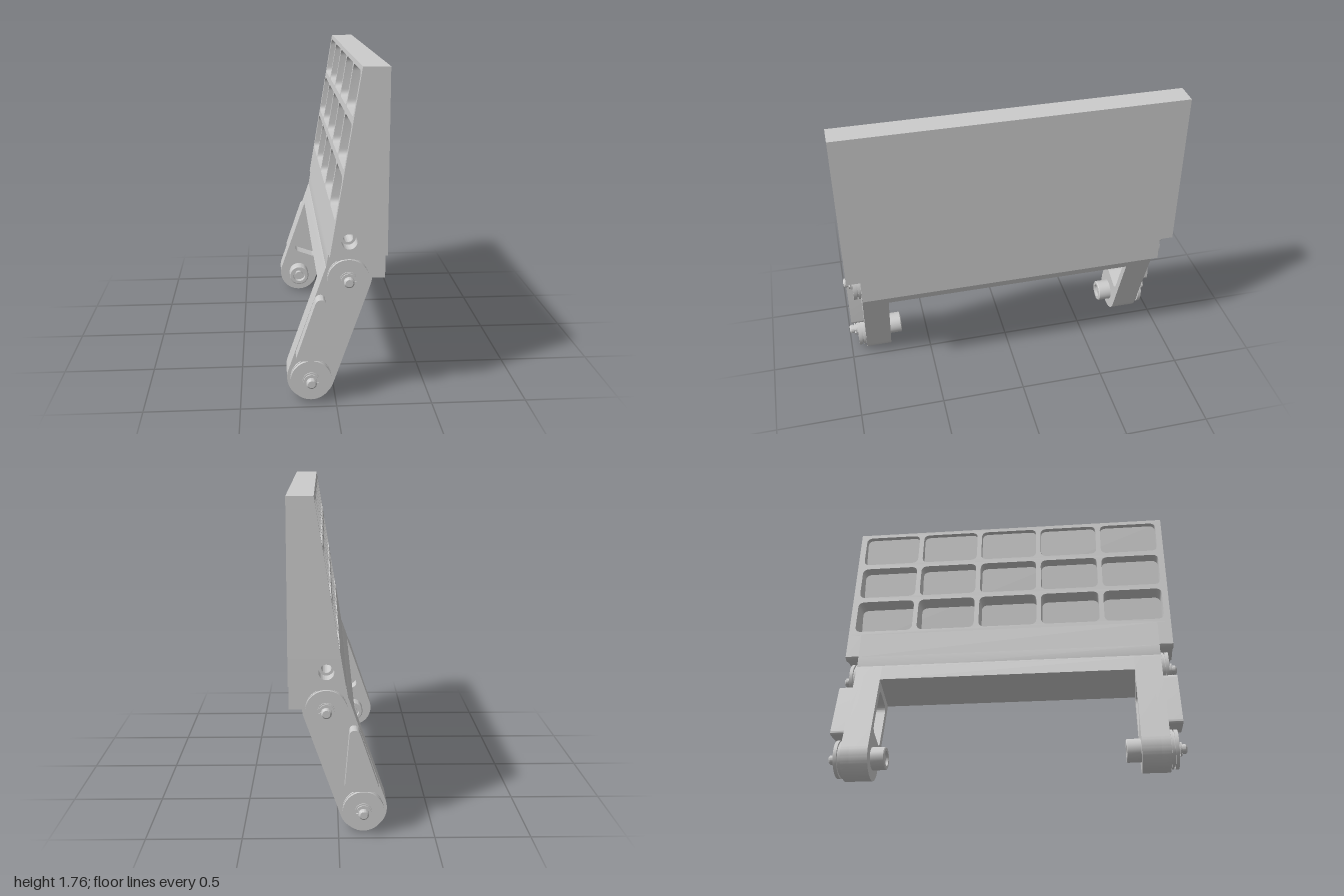
import * as THREE from 'three';
import { toCreasedNormals } from 'three/addons/utils/BufferGeometryUtils.js';

const material = new THREE.MeshStandardMaterial({ color: 0xcccccc });
const HINGE = new THREE.Vector2(0.062, 0.675);
const FOOT = new THREE.Vector2(-0.13, 0.125);
const ARM_R = 0.125;
const FLOOR_X = 0.15; // depth plane of the panel pockets
const SPLIT_Y = 0.96; // pocketed part above, pivot part below
const slantX = (y) => 0.12 - 0.165 * (1.76 - y);

function add(group, name, geometry) {
  const mesh = new THREE.Mesh(toCreasedNormals(geometry, 0.6), material);
  mesh.name = name;
  group.add(mesh);
  return mesh;
}

// Extrude an xy outline between two z positions
function slab(shape, za, zb) {
  const geo = new THREE.ExtrudeGeometry(shape, {
    depth: Math.abs(zb - za), bevelEnabled: false, curveSegments: 24,
  });
  return geo.translate(0, 0, Math.min(za, zb));
}

const polygon = (pts) => new THREE.Shape(pts.map(([x, y]) => new THREE.Vector2(x, y)));

function roundedPolygon(pts, r) {
  const v = pts.map(([x, y]) => new THREE.Vector2(x, y));
  const shape = new THREE.Shape();
  v.forEach((p, i) => {
    const toward = (q) => p.clone().add(q.clone().sub(p).setLength(r));
    const a = toward(v[(i + v.length - 1) % v.length]);
    const b = toward(v[(i + 1) % v.length]);
    if (i === 0) shape.moveTo(a.x, a.y);
    else shape.lineTo(a.x, a.y);
    shape.quadraticCurveTo(p.x, p.y, b.x, b.y);
  });
  shape.closePath();
  return shape;
}

function circle(x, y, r) {
  return new THREE.Path().absarc(x, y, r, 0, Math.PI * 2, true);
}

// Turned part on a z axis; profile is [radius, distance from the middle]
function turned(profile, centre, side) {
  const geo = new THREE.LatheGeometry(profile.map(([r, h]) => new THREE.Vector2(r, h)), 40);
  return geo.rotateX(side * Math.PI / 2).translate(centre.x, centre.y, 0);
}

// Point on the arm: t along it from the hinge, w across it
const dir = FOOT.clone().sub(HINGE).normalize();
const across = new THREE.Vector2(-dir.y, dir.x);
const armPoint = (t, w) => [
  HINGE.x + dir.x * t + across.x * w,
  HINGE.y + dir.y * t + across.y * w,
];

function buildPanel() {
  const panel = new THREE.Group();
  panel.name = 'panel';

  // Solid front sheet
  add(panel, 'frontSheet', new THREE.BoxGeometry(0.255 - FLOOR_X, 1.76 - SPLIT_Y, 1.97)
    .translate((0.255 + FLOOR_X) / 2, (1.76 + SPLIT_Y) / 2, 0));

  // Sloped rib grid with five by three pockets
  const grid = polygon([[-0.985, SPLIT_Y], [0.985, SPLIT_Y], [0.985, 1.76], [-0.985, 1.76]]);
  for (let col = -2; col <= 2; col++) {
    for (const [y0, y1] of [[0.985, 1.21], [1.245, 1.475], [1.51, 1.735]]) {
      const z0 = col * 0.385 - 0.178;
      const z1 = col * 0.385 + 0.178;
      grid.holes.push(roundedPolygon([[z0, y0], [z0, y1], [z1, y1], [z1, y0]], 0.04));
    }
  }
  const ribs = new THREE.ExtrudeGeometry(grid, { depth: 1, bevelEnabled: false, curveSegments: 6 });
  ribs.rotateY(Math.PI / 2);
  const pos = ribs.attributes.position;
  for (let i = 0; i < pos.count; i++) {
    pos.setX(i, THREE.MathUtils.lerp(slantX(pos.getY(i)), FLOOR_X, pos.getX(i)));
  }
  add(panel, 'ribGrid', ribs);

  // Lower body with the through bore
  const body = polygon([
    [slantX(SPLIT_Y), SPLIT_Y], [slantX(0.8), 0.8], [-0.055, 0.7], [-0.05, 0.675],
    [0.255, 0.67], [0.255, SPLIT_Y],
  ]);
  body.holes.push(circle(0.062, 0.89, 0.026));
  add(panel, 'lowerBody', slab(body, -0.905, 0.905));

  // End cheeks, cut away above the hinge discs
  const cheek = polygon([
    [slantX(SPLIT_Y), SPLIT_Y], [slantX(0.805), 0.805], [-0.03, 0.795], [-0.01, 0.788],
    [0.02, 0.795], [0.062, 0.8], [0.1, 0.795], [0.14, 0.785], [0.165, 0.787],
    [0.178, 0.797], [0.185, 0.815], [0.255, 0.815], [0.255, SPLIT_Y],
  ]);
  cheek.holes.push(circle(0.062, 0.89, 0.04));
  for (const s of [-1, 1]) add(panel, 'endCheek', slab(cheek, s * 0.905, s * 0.985));
  return panel;
}

function buildLeg(side) {
  const leg = new THREE.Group();
  leg.name = side > 0 ? 'frontLeg' : 'backLeg';

  // Round-ended arm with a pocket on its inner face
  const a = Math.atan2(-dir.y, -dir.x);
  const outline = () => new THREE.Shape()
    .absarc(HINGE.x, HINGE.y, ARM_R, a - Math.PI / 2, a + Math.PI / 2)
    .absarc(FOOT.x, FOOT.y, ARM_R, a + Math.PI / 2, a + Math.PI * 1.5);
  const inner = outline();
  inner.holes.push(roundedPolygon(
    [armPoint(0.14, -0.085), armPoint(0.14, 0.085), armPoint(0.44, 0.085), armPoint(0.44, -0.085)], 0.04));
  add(leg, 'pocketedArm', slab(inner, side * 0.75, side * 0.855));
  add(leg, 'armWall', slab(outline(), side * 0.855, side * 0.905));

  // Tapered stop on the outer face
  const stop = roundedPolygon([[-0.215, 0.25], [-0.03, 0.25], [-0.057, 0.583], [-0.102, 0.583]], 0.025);
  add(leg, 'outerStop', slab(stop, side * 0.9, side * 0.985));

  // Grooved discs and pins at both joints
  const disc = [
    [0, 0.9], [0.1, 0.9], [0.1, 0.91], [0.108, 0.91], [0.108, 0.922], [0.095, 0.922],
    [0.095, 0.93], [0.108, 0.93], [0.108, 0.95], [0.045, 0.95], [0.045, 0.956], [0, 0.956],
  ];
  const pin = [
    [0, 0.94], [0.027, 0.94], [0.027, 0.966], [0.022, 0.966], [0.022, 0.975],
    [0.027, 0.975], [0.027, 0.992], [0.019, 1], [0, 1],
  ];
  // Split retaining ring
  const ring = new THREE.Shape().absarc(0, 0, 0.04, 0.5, Math.PI * 2 - 0.1);
  ring.absarc(0, 0, 0.022, Math.PI * 2 - 0.1, 0.5, true);
  for (const [name, c] of [['hinge', HINGE], ['foot', FOOT]]) {
    add(leg, name + 'Disc', turned(disc, c, side));
    add(leg, name + 'Pin', turned(pin, c, side));
    add(leg, name + 'RetainingRing', slab(ring, side * 0.962, side * 0.97).translate(c.x, c.y, 0));
  }

  // Hollow boss on the inner face of the foot
  add(leg, 'footBoss', turned([
    [0, 0.68], [0.024, 0.68], [0.024, 0.71], [0.042, 0.71], [0.042, 0.67],
    [0.06, 0.67], [0.065, 0.675], [0.065, 0.76],
  ], FOOT, side));
  return leg;
}

// Bar that joins the two legs along the hinge
function buildCrossbar(group) {
  const a = Math.atan2(-dir.y, -dir.x);
  const bar = new THREE.Shape()
    .absarc(HINGE.x, HINGE.y, ARM_R, a - Math.PI / 2, a + Math.PI / 2);
  bar.lineTo(...armPoint(0.094, -ARM_R));
  bar.lineTo(...armPoint(0.094, ARM_R));
  add(group, 'crossbar', slab(bar, -0.75, 0.75));
}

export function createModel() {
  const model = new THREE.Group();
  model.name = 'hingedPanel';
  model.add(buildPanel(), buildLeg(1), buildLeg(-1));
  buildCrossbar(model);
  return model;
}
